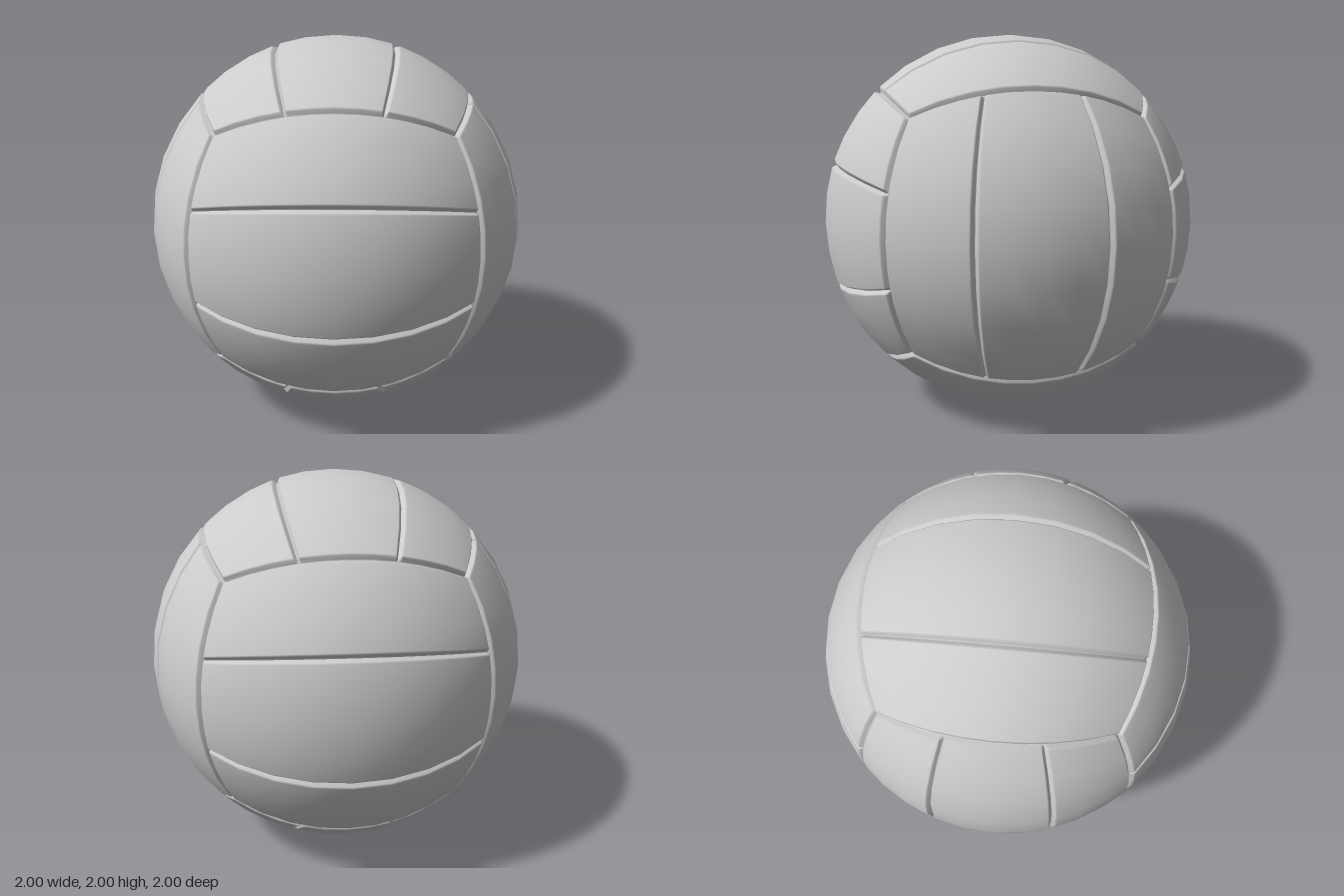
import * as THREE from 'three';

// Bevel at every panel edge: angular inset from the seam, and radius there
const INSET = [0, 0.006, 0.015, 0.025];
const RADIUS = [0.976, 0.979, 0.995, 1];

// Angles from a to b in even steps, with the bevel rows added at both ends
function samples(a, b, steps) {
  const out = INSET.map((d) => a + d);
  for (let i = 1; i < steps; i++) out.push(a + ((b - a) * i) / steps);
  return out.concat(INSET.map((d) => b - d).reverse());
}

// One raised panel, a patch of a cube face projected onto the sphere
function panelGeometry(normal, along, across, from, to, steps) {
  const us = samples(-Math.PI / 4, Math.PI / 4, 8);
  const vs = samples(Math.atan(from), Math.atan(to), steps);
  const positions = [], index = [], p = new THREE.Vector3();
  const n = us.length - 1, m = vs.length - 1;
  for (let i = 0; i <= n; i++) {
    for (let j = 0; j <= m; j++) {
      const ring = Math.min(i, n - i, j, m - j, RADIUS.length - 1);
      p.copy(normal)
        .addScaledVector(along, Math.tan(us[i]))
        .addScaledVector(across, Math.tan(vs[j]))
        .setLength(RADIUS[ring]);
      positions.push(p.x, p.y, p.z);
      if (i < n && j < m) {
        const a = i * (m + 1) + j, b = a + m + 1;
        index.push(a, b, b + 1, a, b + 1, a + 1);
      }
    }
  }
  const g = new THREE.BufferGeometry();
  g.setAttribute('position', new THREE.Float32BufferAttribute(positions, 3));
  g.setIndex(index);
  g.computeVertexNormals();
  return g;
}

export function createModel() {
  const model = new THREE.Group();
  model.name = 'volleyball';
  const material = new THREE.MeshStandardMaterial({ color: 0xcccccc });
  const ball = new THREE.Group();
  ball.name = 'ball';
  ball.position.y = 1;
  model.add(ball);

  // Six sides of three strips; the strip direction turns from side to side
  const axes = [new THREE.Vector3(1, 0, 0), new THREE.Vector3(0, 1, 0), new THREE.Vector3(0, 0, 1)];
  const sideNames = [['left', 'right'], ['top', 'bottom'], ['front', 'back']];
  const strips = [[-1, -1 / 3, 3], [-1 / 3, 1 / 3, 4], [1 / 3, 1, 3]];
  for (let k = 0; k < 3; k++) {
    [1, -1].forEach((sign, s) => {
      const side = new THREE.Group();
      side.name = sideNames[k][s] + 'Panels';
      const normal = axes[k].clone().multiplyScalar(sign);
      const across = axes[(k + 2) % 3].clone().multiplyScalar(sign);
      strips.forEach(([from, to, steps], i) => {
        const panel = new THREE.Mesh(
          panelGeometry(normal, axes[(k + 1) % 3], across, from, to, steps), material);
        panel.name = sideNames[k][s] + 'Panel' + (i + 1);
        side.add(panel);
      });
      ball.add(side);
    });
  }

  // Inner bladder closing the bottoms of the seams
  const bladder = new THREE.Mesh(new THREE.SphereGeometry(0.968, 64, 48), material);
  bladder.name = 'bladder';
  ball.add(bladder);
  return model;
}
